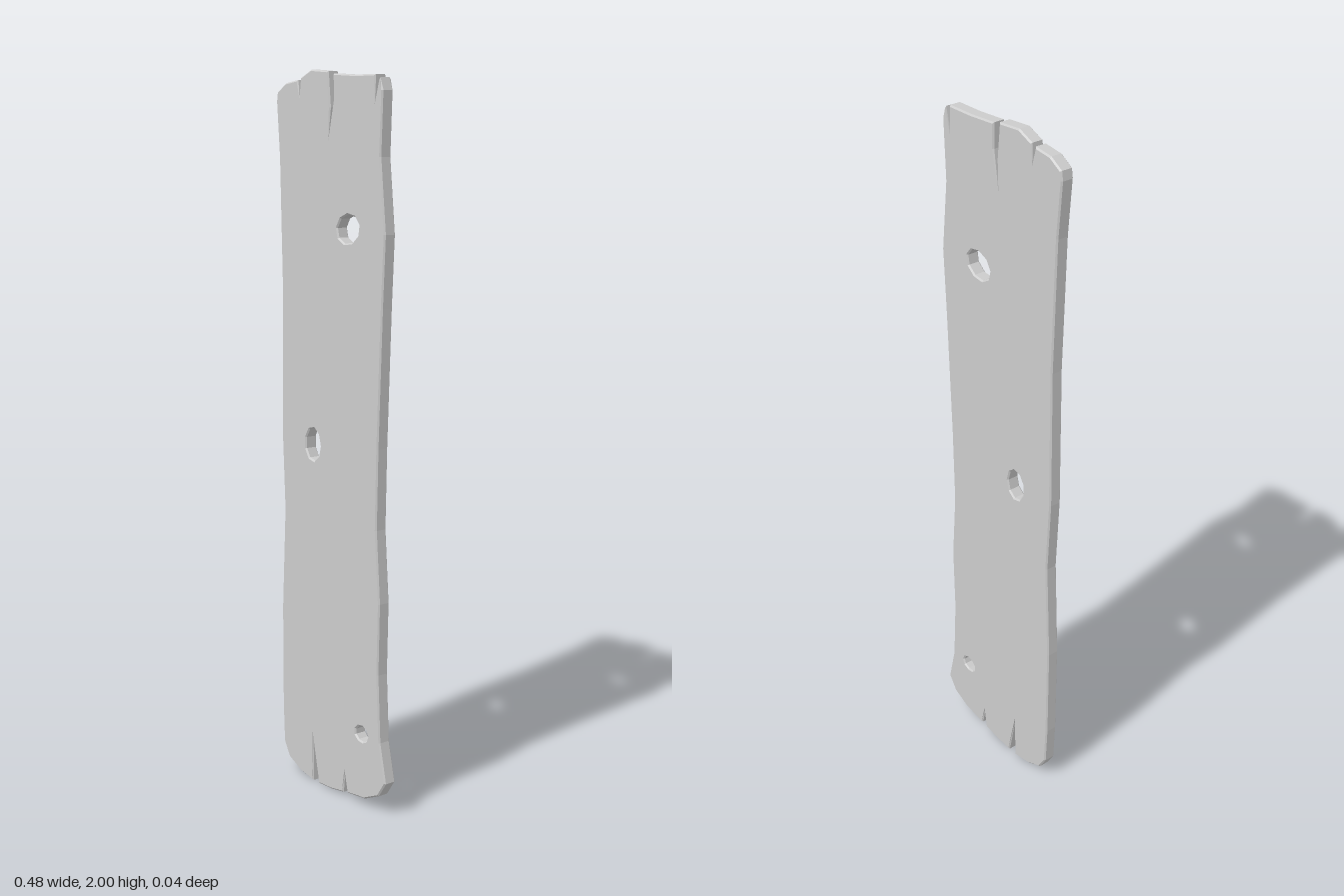
import * as THREE from 'three';

const toPoints = (list) => list.map(([x, y]) => new THREE.Vector2(x, y));

// Uneven edges, each listed counter-clockwise around the board
const bottomEnd = [
  [-0.225, 0.08], [-0.2, 0.037], [-0.145, 0.012], [-0.085, 0.002],
  [-0.085, 0.145], [-0.058, 0.002], // long split
  [0, 0.005], [0.055, 0.014],
  [0.062, 0.08], [0.074, 0.018], // short split
  [0.15, 0.027], [0.21, 0.055], [0.24, 0.1],
];
const rightEdge = [
  [0.215, 0.21], [0.205, 0.4], [0.21, 0.6], [0.195, 0.8], [0.2, 1.02],
  [0.215, 1.39], [0.225, 1.58], [0.205, 1.775], [0.212, 1.94],
];
const topEnd = [
  [0.2, 1.972], [0.183, 1.91], [0.183, 1.98], // hairline split
  [0.1, 1.981], [0.01, 1.987],
  [0.011, 1.92], [-0.009, 1.82], [-0.003, 1.9], [-0.012, 1.994], // long split
  [-0.085, 2], [-0.132, 1.98],
  [-0.136, 1.93], [-0.145, 1.975], // short split
  [-0.2, 1.968], [-0.238, 1.945],
];
const leftEdge = [
  [-0.242, 1.92], [-0.23, 1.77], [-0.22, 1.4], [-0.225, 1], [-0.215, 0.785],
  [-0.23, 0.49], [-0.23, 0.2],
];

// Knot hole: a coarse, tilted oval
function knotHole(cx, cy, rx, ry, tilt, sides = 9) {
  const pts = [];
  for (let i = 0; i < sides; i++) {
    const a = -(i / sides) * Math.PI * 2;
    pts.push(new THREE.Vector2(rx * Math.cos(a), ry * Math.sin(a))
      .rotateAround(new THREE.Vector2(), tilt)
      .add(new THREE.Vector2(cx, cy)));
  }
  return new THREE.Path(pts);
}

export function createModel() {
  const group = new THREE.Group();
  group.name = 'woodenPlank';

  const shape = new THREE.Shape(toPoints([...bottomEnd, ...rightEdge, ...topEnd, ...leftEdge]));
  shape.holes.push(
    knotHole(0.073, 1.588, 0.047, 0.038, 0.25),
    knotHole(-0.081, 0.992, 0.033, 0.046, 0),
    knotHole(0.137, 0.213, 0.027, 0.022, 0),
  );

  // Board with a narrow chamfer cut inwards on both faces
  const thickness = 0.037;
  const chamfer = 0.004;
  const geometry = new THREE.ExtrudeGeometry(shape, {
    depth: thickness - 2 * chamfer,
    bevelEnabled: true,
    bevelThickness: chamfer,
    bevelSize: chamfer,
    bevelOffset: -chamfer,
    bevelSegments: 1,
  });
  geometry.translate(0, 0, -0.02 + chamfer);

  const board = new THREE.Mesh(
    geometry,
    new THREE.MeshStandardMaterial({ color: 0xcccccc, flatShading: true }),
  );
  board.name = 'board';
  group.add(board);
  return group;
}
